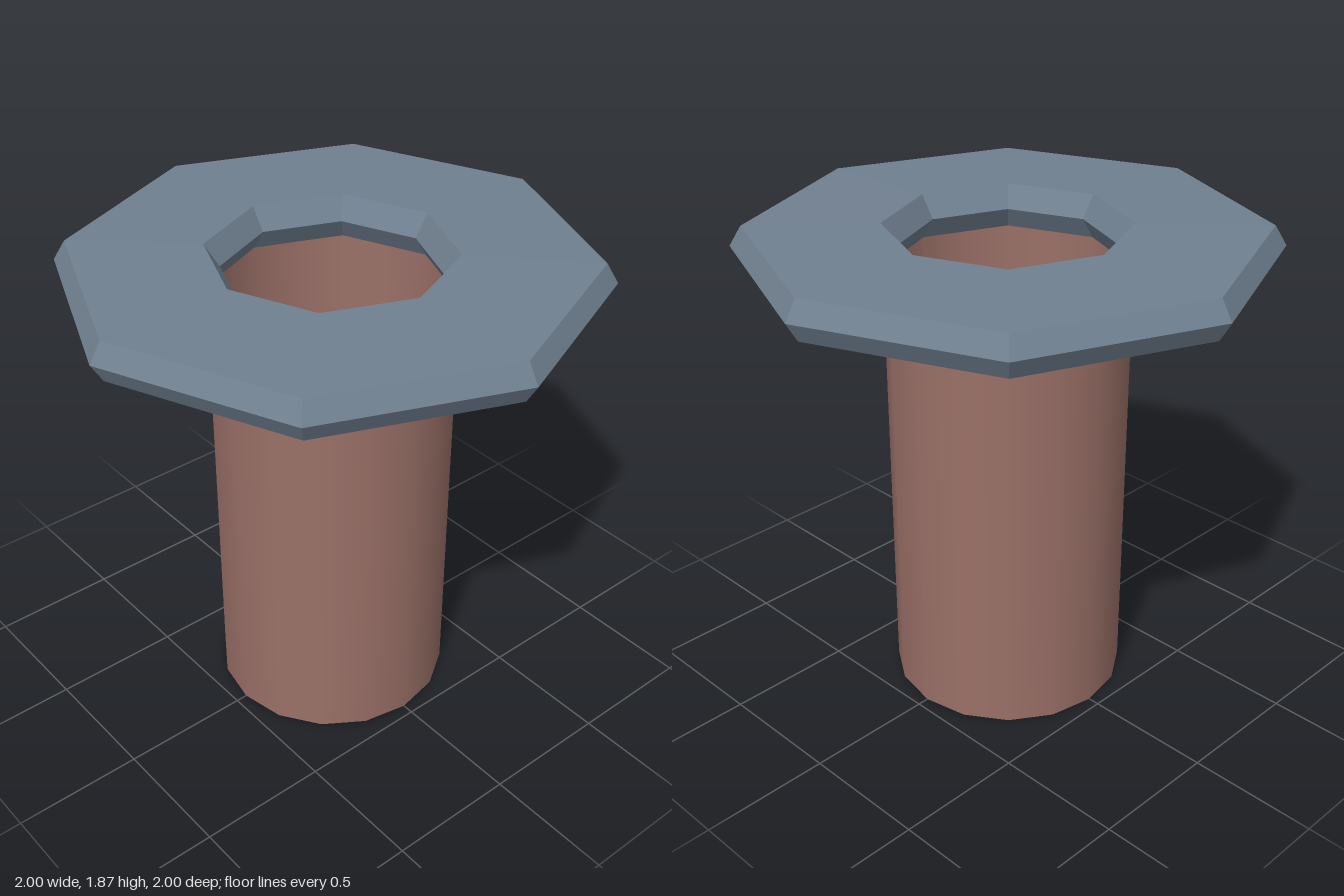
import * as THREE from 'three';

export function createModel() {
  const group = new THREE.Group();

  // Octagonal collar: hexagonal cross-section swept in eight flat segments
  const section = [
    [0.455, 1.70], [0.955, 1.71], [1.0, 1.785], [0.955, 1.86], [0.455, 1.87], [0.40, 1.785], [0.455, 1.70],
  ].map(([r, y]) => new THREE.Vector2(r, y));
  const collar = new THREE.Mesh(
    new THREE.LatheGeometry(section, 8),
    new THREE.MeshStandardMaterial({ color: 0x708090, flatShading: true }),
  );
  collar.name = 'collar';
  group.add(collar);

  // Open smooth tube, its top edge buried in the collar
  const height = 1.785;
  const tube = new THREE.Mesh(
    new THREE.CylinderGeometry(0.455, 0.455, height, 16, 1, true),
    new THREE.MeshStandardMaterial({ color: 0x9a7067, side: THREE.DoubleSide }),
  );
  tube.position.y = height / 2;
  tube.name = 'tube';
  group.add(tube);

  return group;
}
